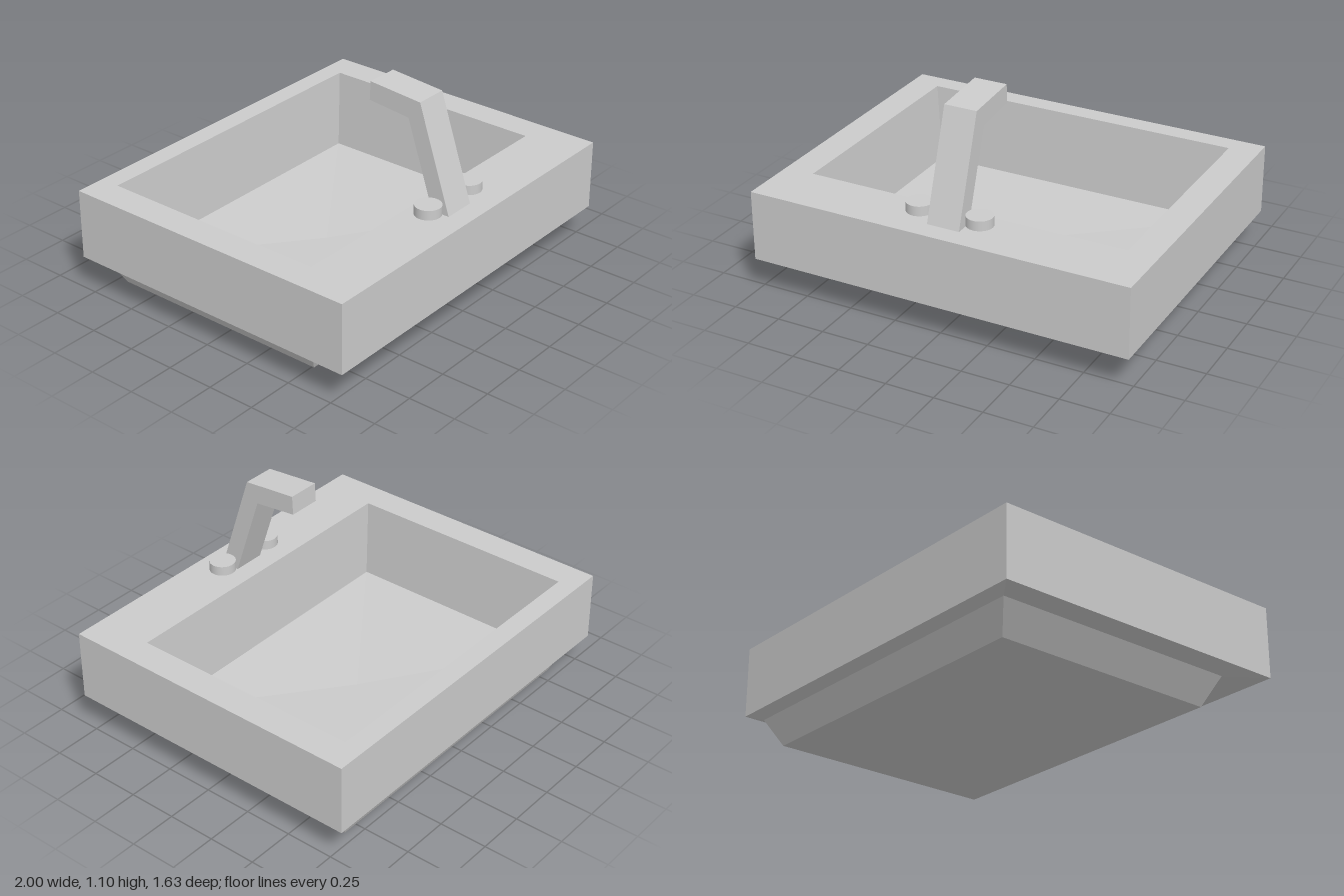
import * as THREE from 'three';

const grey = new THREE.MeshStandardMaterial({ color: 0xcccccc });
const flat = new THREE.MeshStandardMaterial({ color: 0xcccccc, flatShading: true });

function part(name, geometry, material) {
  const mesh = new THREE.Mesh(geometry, material);
  mesh.name = name;
  return mesh;
}

// Joins a series of rectangles [y, half width, back z, front z] into one skin
function loftRectangles(rings) {
  const corners = rings.map(([y, w, back, front]) => [
    [w, y, front], [w, y, back], [-w, y, back], [-w, y, front],
  ]);
  const positions = [];
  for (let r = 0; r < rings.length - 1; r++) {
    for (let i = 0; i < 4; i++) {
      const j = (i + 1) % 4;
      const [a, b, c, d] = [corners[r][i], corners[r][j], corners[r + 1][j], corners[r + 1][i]];
      // a ring of zero width is a point and needs only one triangle per side
      if (rings[r][1] > 0) positions.push(...a, ...b, ...c);
      if (rings[r + 1][1] > 0 || rings[r][1] === 0) positions.push(...a, ...c, ...d);
    }
  }
  const geometry = new THREE.BufferGeometry();
  geometry.setAttribute('position', new THREE.Float32BufferAttribute(positions, 3));
  geometry.computeVertexNormals();
  return geometry;
}

export function createModel() {
  const sink = new THREE.Group();
  sink.name = 'sink';

  // Basin: from the middle of the underside, up the outside, over the rim and down to the drain
  sink.add(part('basin', loftRectangles([
    [0, 0, -0.095, -0.095],
    [0, 0.83, -0.695, 0.51],
    [0.145, 0.915, -0.76, 0.57],
    [0.175, 1, -0.815, 0.815],
    [0.54, 1, -0.815, 0.815],
    [0.54, 0.845, -0.71, 0.51],
    [0.13, 0.81, -0.69, 0.49],
    [0.10, 0, -0.1, -0.1],
  ]), flat));

  // Faucet: bent side profile in (z, y), extruded across the width
  const profile = new THREE.Shape([
    [0.71, 0.54], [0.53, 1.077], [0.24, 1.1], [0.235, 1.003], [0.465, 0.98], [0.613, 0.54],
  ].map(([z, y]) => new THREE.Vector2(z, y)));
  const width = 0.17;
  const spout = new THREE.ExtrudeGeometry(profile, { depth: width, bevelEnabled: false });
  spout.translate(0, 0, -width / 2).rotateY(-Math.PI / 2);
  sink.add(part('faucet', spout, flat));

  // Round tap knobs on either side of the faucet
  for (const [name, side] of [['leftKnob', 1], ['rightKnob', -1]]) {
    const knob = part(name, new THREE.CylinderGeometry(0.067, 0.067, 0.05, 32), grey);
    knob.position.set(side * 0.16, 0.592, 0.645);
    sink.add(knob);
  }

  return sink;
}
